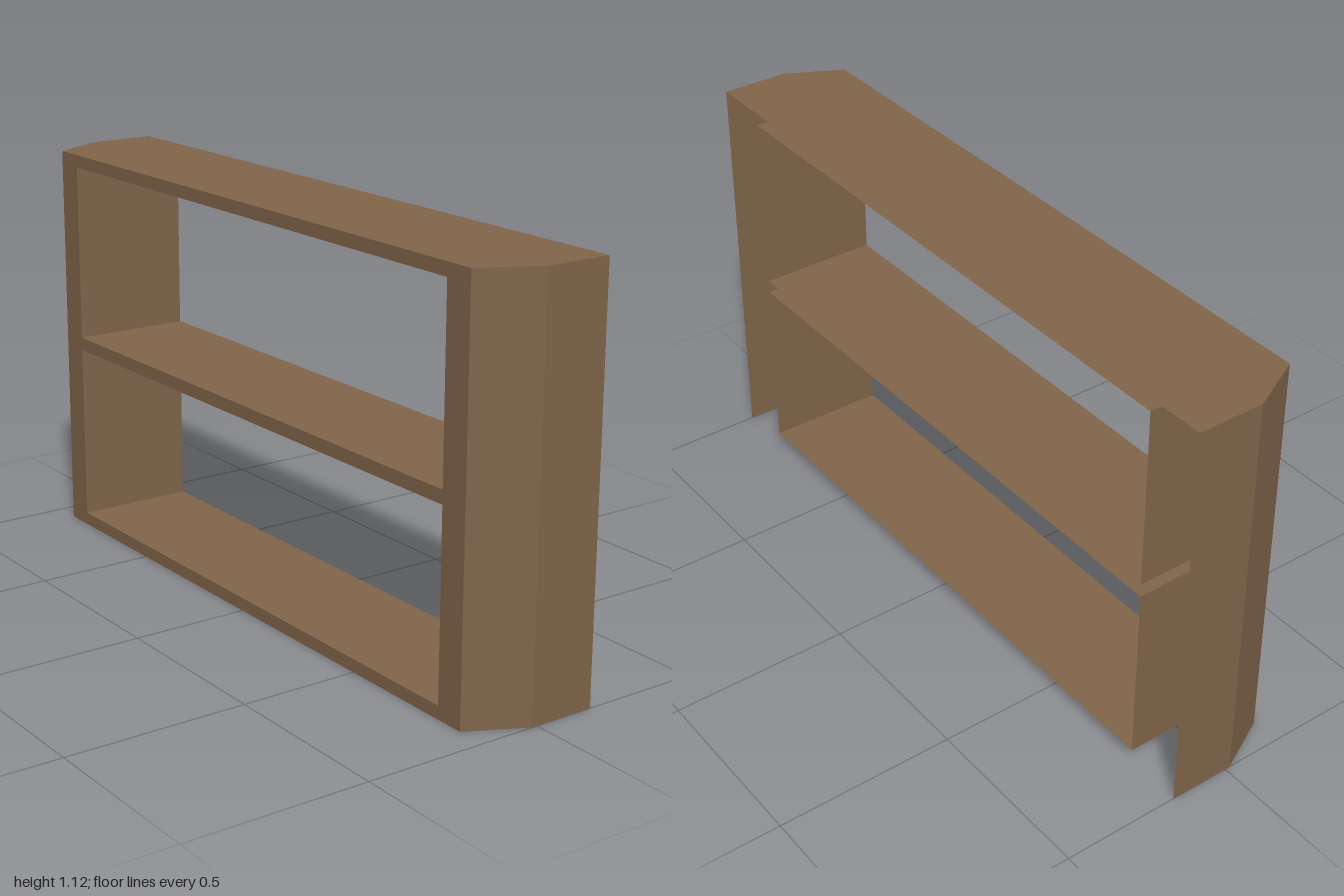
import * as THREE from 'three';

const W = 1, H = 1.12, D = 0.17;      // half width, height, half depth
const FRONT_W = 0.92, BEVEL_Z = 0.015; // front half width, where the corner bevel starts
const OPEN_W = 0.837;                  // half width of the openings
const OPENINGS = [
  { name: 'lowerCompartment', y0: 0.036, y1: 0.543 },
  { name: 'upperCompartment', y0: 0.58, y1: 1.084 },
];

const wood = new THREE.MeshStandardMaterial({ color: 0x80654a, side: THREE.DoubleSide });

// Flat wall panels made by sweeping a polyline along an offset
function sweepWall(points, offset) {
  const corners = [];
  for (let i = 0; i + 1 < points.length; i++) {
    const p = points[i], q = points[i + 1];
    const p2 = p.clone().add(offset), q2 = q.clone().add(offset);
    corners.push(p, q, q2, p, q2, p2);
  }
  const geometry = new THREE.BufferGeometry().setFromPoints(corners);
  geometry.computeVertexNormals();
  return geometry;
}

function rectangle(x, y0, y1) {
  return [[-x, y0], [x, y0], [x, y1], [-x, y1]].map(([a, b]) => new THREE.Vector2(a, b));
}

export function createModel() {
  const model = new THREE.Group();
  model.name = 'shelfUnit';
  const add = (geometry, name) => {
    const mesh = new THREE.Mesh(geometry, wood);
    mesh.name = name;
    model.add(mesh);
    return mesh;
  };

  // Top board with bevelled front corners
  const outline = [[-FRONT_W, -D], [FRONT_W, -D], [W, -BEVEL_Z], [W, D], [-W, D], [-W, -BEVEL_Z]];
  const topShape = new THREE.Shape(outline.map(([x, y]) => new THREE.Vector2(x, y)));
  add(new THREE.ShapeGeometry(topShape).rotateX(-Math.PI / 2), 'topBoard').position.y = H;

  // Side walls, each with its bevelled corner
  const up = new THREE.Vector3(0, H, 0);
  for (const s of [1, -1]) {
    const path = [[FRONT_W, D], [W, BEVEL_Z], [W, -D]].map(([x, z]) => new THREE.Vector3(s * x, 0, z));
    if (s < 0) path.reverse();
    add(sweepWall(path, up), s > 0 ? 'leftSide' : 'rightSide');
  }

  // Front frame with the two openings
  const front = new THREE.Shape(rectangle(FRONT_W, 0, H));
  for (const { y0, y1 } of OPENINGS) front.holes.push(new THREE.Path(rectangle(OPEN_W, y0, y1)));
  add(new THREE.ShapeGeometry(front), 'frontFrame').position.z = D;

  // Open-ended compartment linings running front to back
  const depth = new THREE.Vector3(0, 0, -2 * D);
  for (const { name, y0, y1 } of OPENINGS) {
    const loop = rectangle(OPEN_W, y0, y1).map((p) => new THREE.Vector3(p.x, p.y, D));
    add(sweepWall([...loop, loop[0]], depth), name);
  }

  return model;
}
